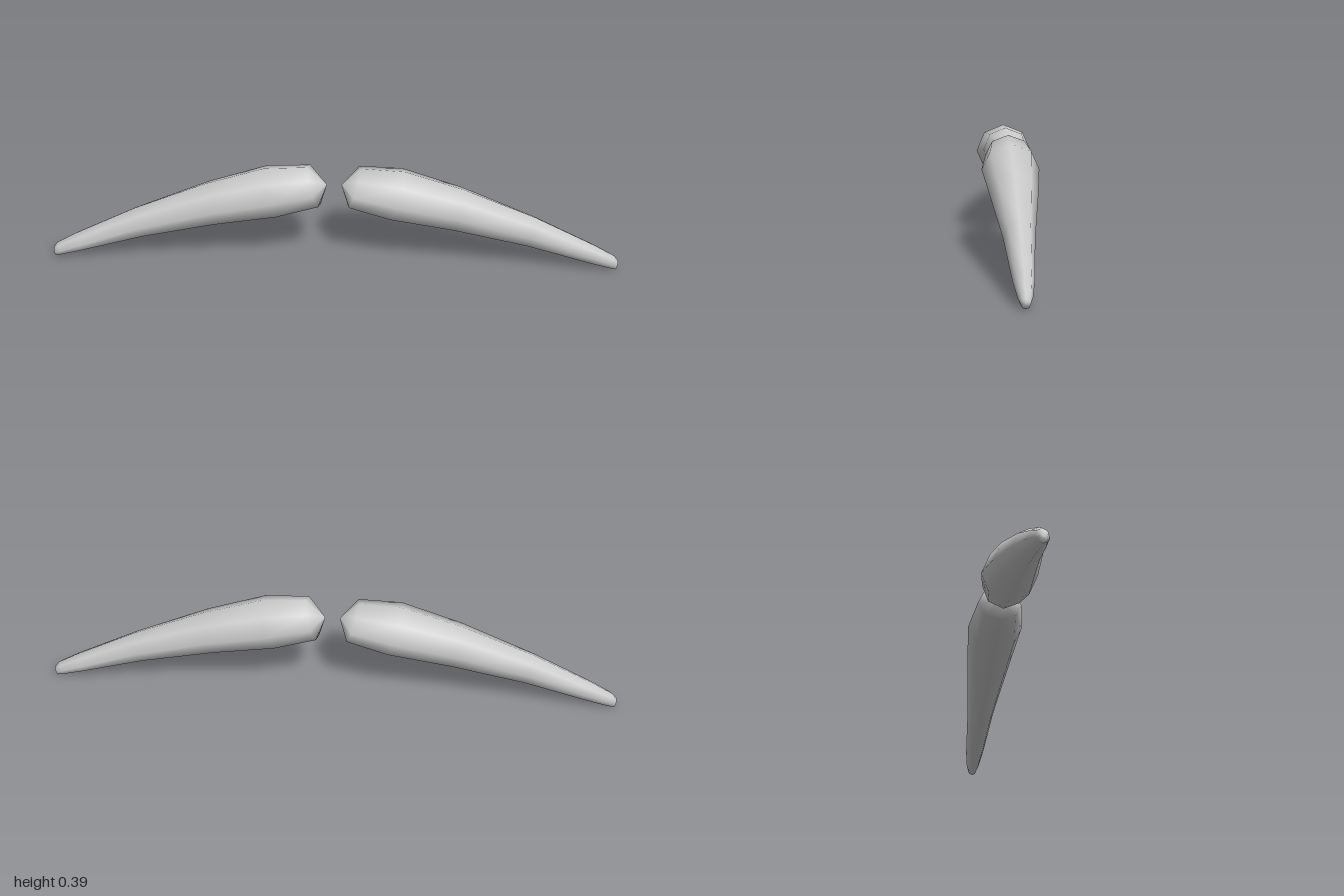
import * as THREE from 'three';

const SIDES = 8;

// Cross-sections from the inner end to the tip:
// [top x, top y, bottom x, bottom y, half depth]
const SECTIONS = [
  [0.025, 0.323, 0.025, 0.323, 0],
  [0.092, 0.39, 0.047, 0.243, 0.078],
  [0.243, 0.381, 0.19, 0.202, 0.097],
  [0.447, 0.315, 0.412, 0.16, 0.078],
  [0.7, 0.208, 0.672, 0.096, 0.05],
  [0.915, 0.098, 0.89, 0.031, 0.033],
  [0.984, 0.058, 0.962, 0.01, 0.023],
  [1.0, 0.037, 0.991, 0.003, 0.015],
  [0.998, 0.02, 0.998, 0.02, 0],
];

// Tapered, curved eight-sided horn with pointed ends
function hornGeometry() {
  const pos = [], idx = [];
  for (const [tx, ty, bx, by, depth] of SECTIONS) {
    for (let j = 0; j < SIDES; j++) {
      const a = (j / SIDES) * Math.PI * 2;
      const t = (1 + Math.cos(a)) / 2;
      pos.push(bx + (tx - bx) * t, by + (ty - by) * t, depth * Math.sin(a));
    }
  }
  const last = SECTIONS.length - 2;
  for (let i = 0; i <= last; i++) {
    for (let j = 0; j < SIDES; j++) {
      const a = i * SIDES + j, b = i * SIDES + (j + 1) % SIDES;
      const c = a + SIDES, d = b + SIDES;
      // the end rings collapse to a point, so they need one triangle per side
      if (i > 0) idx.push(a, b, c);
      if (i < last) idx.push(b, d, c);
    }
  }
  const geo = new THREE.BufferGeometry();
  geo.setAttribute('position', new THREE.Float32BufferAttribute(pos, 3));
  geo.setIndex(idx);
  geo.computeVertexNormals();
  return geo;
}

export function createModel() {
  const group = new THREE.Group();
  group.name = 'moustache';
  const geo = hornGeometry();
  const material = new THREE.MeshStandardMaterial({ color: 0xcccccc });

  // The halves are symmetric front to back, so a half turn mirrors them
  for (const [name, turn] of [['leftHalf', 0], ['rightHalf', Math.PI]]) {
    const half = new THREE.Mesh(geo, material);
    half.name = name;
    half.rotation.y = turn;
    group.add(half);
  }
  return group;
}
